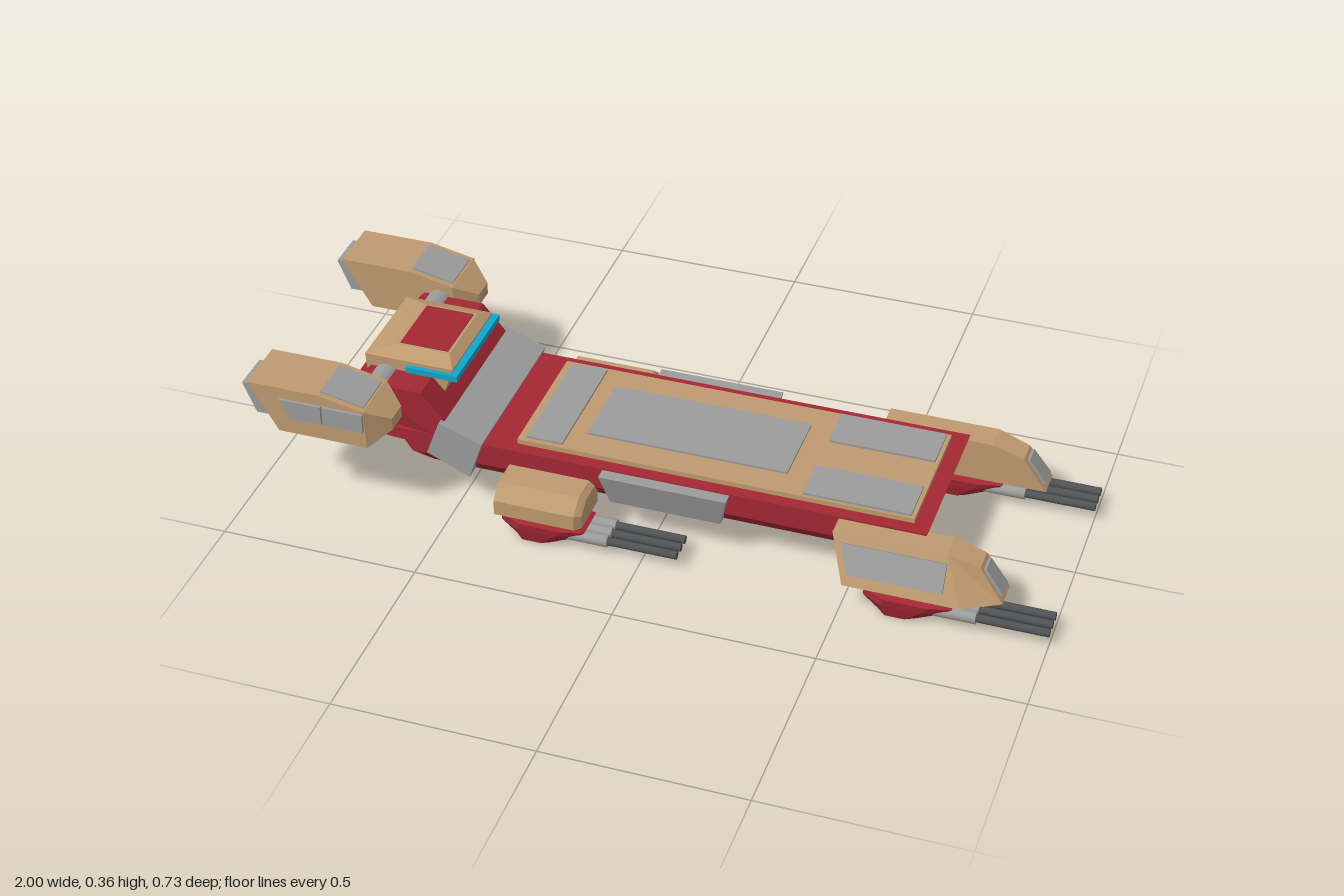
import * as THREE from 'three';

const mat = (name, color) => {
  const m = new THREE.MeshStandardMaterial({ color });
  m.name = name;
  return m;
};

// Joins convex cross-sections (lists of [x,y,z]) into a closed faceted solid
function loft(sections) {
  const tris = [];
  const n = sections[0].length;
  for (let s = 0; s < sections.length - 1; s++) {
    const a = sections[s], b = sections[s + 1];
    for (let i = 0; i < n; i++) {
      const j = (i + 1) % n;
      tris.push([a[i], a[j], b[j]], [a[i], b[j], b[i]]);
    }
  }
  const first = sections[0], last = sections[sections.length - 1];
  for (let i = 1; i < n - 1; i++) {
    tris.push([first[0], first[i + 1], first[i]], [last[0], last[i], last[i + 1]]);
  }
  // Turn the faces outward when the enclosed volume is negative
  const v = (p) => new THREE.Vector3(...p);
  const c = v(first[0]);
  let volume = 0;
  for (const t of tris) {
    const [p, q, r] = t.map((k) => v(k).sub(c));
    volume += p.dot(q.cross(r));
  }
  if (volume < 0) tris.forEach((t) => t.reverse());
  const g = new THREE.BufferGeometry();
  g.setAttribute('position', new THREE.Float32BufferAttribute(tris.flat(2), 3));
  g.computeVertexNormals();
  return g;
}

// Side profile in x,y pushed from z0 to z1
const prism = (pts, z0, z1) => loft([z0, z1].map((z) => pts.map(([x, y]) => [x, y, z])));
// Four corners thickened along an offset
const plate = (quad, off) => loft([quad, quad.map((p) => p.map((k, i) => k + off[i]))]);
// Slanted four-sided section: top x,y / bottom x,y / inner z / outer z at top and bottom
const section = (tx, ty, bx, by, zi, zt, zb = zt, zib = zi) =>
  [[tx, ty, zi], [tx, ty, zt], [bx, by, zb], [bx, by, zib]];
const box = (x0, x1, y0, y1, z0, z1) =>
  new THREE.BoxGeometry(x1 - x0, y1 - y0, z1 - z0)
    .translate((x0 + x1) / 2, (y0 + y1) / 2, (z0 + z1) / 2);

export function createModel() {
  const red = mat('hull red', 0xa32733);
  const tan = mat('armour tan', 0xbf9a70);
  const grey = mat('panel grey', 0x9c9c9c);
  const dark = mat('gun dark grey', 0x505254);
  const cyan = mat('window cyan', 0x12a5c8);

  const model = new THREE.Group();
  model.name = 'gunship';
  const add = (name, g, m, parent = model) => {
    const mesh = new THREE.Mesh(g, m);
    mesh.name = name;
    parent.add(mesh);
    return mesh;
  };

  // Main hull with chamfered keel, undercut nose and stern
  const rib = [[0.19, 0.207], [0.13, 0.207], [0.087, 0.17], [0.07, 0.075]];
  const hullEnd = (xs) => {
    const half = rib.map(([y, z], i) => [xs[i], y, z]);
    return [...half, ...half.map(([x, y, z]) => [x, y, -z]).reverse()];
  };
  add('hull', loft([hullEnd([-0.66, -0.62, -0.58, -0.56]), hullEnd([0.68, 0.64, 0.6, 0.58])]), red);

  // Raised stern block, narrowing towards the back
  const sternProfile = [[-0.5, 0.15], [-0.5, 0.2], [-0.59, 0.307], [-0.75, 0.307], [-0.81, 0.24], [-0.81, 0.15]];
  add('sternBlock', loft([-1, 1].map((s) =>
    sternProfile.map(([x, y]) => [x, y, s * (x < -0.8 ? 0.185 : 0.206)]))), red);

  add('collar', prism([[-0.54, 0.24], [-0.43, 0.2], [-0.465, 0.096], [-0.575, 0.145]], -0.222, 0.222), grey);

  // Deck and its raised panels
  add('deck', box(-0.355, 0.64, 0.185, 0.203, -0.175, 0.175), tan);
  add('deckPanelMiddle', box(-0.2, 0.307, 0.2, 0.209, -0.103, 0.103), grey);
  add('deckPanelRear', box(-0.335, -0.243, 0.2, 0.209, -0.163, 0.163), grey);

  // Bridge with stepped roof and wraparound window
  const ring = (x0, x1, y, z) => [[x0, y, -z], [x0, y, z], [x1, y, z], [x1, y, -z]];
  add('bridge', loft([
    ring(-0.74, -0.6, 0.24, 0.125), ring(-0.76, -0.56, 0.265, 0.13),
    ring(-0.765, -0.535, 0.338, 0.132), ring(-0.7, -0.558, 0.355, 0.092),
  ]), tan);
  add('bridgeRoofPanel', box(-0.69, -0.565, 0.352, 0.357, -0.085, 0.085), red);
  add('bridgeWindowFront', box(-0.545, -0.52, 0.312, 0.328, -0.143, 0.143), cyan);

  add('engineCrossbar', new THREE.CylinderGeometry(0.034, 0.034, 0.46, 16)
    .rotateX(Math.PI / 2).translate(-0.71, 0.284, 0), grey);

  for (const s of [1, -1]) {
    const side = new THREE.Group();
    side.name = s > 0 ? 'leftSide' : 'rightSide';
    model.add(side);
    const m = (sections) => loft(sections.map((q) => q.map(([x, y, z]) => [x, y, s * z])));
    const put = (name, sections, material) => add(name, m(sections), material, side);
    const panel = (name, quad, off, material) =>
      add(name, plate(quad.map(([x, y, z]) => [x, y, s * z]), [off[0], off[1], s * off[2]]), material, side);

    panel('deckPanelFront', [[0.365, 0.2, 0.053], [0.63, 0.2, 0.053], [0.63, 0.2, 0.168], [0.365, 0.2, 0.168]],
      [0, 0.009, 0], grey);
    panel('bridgeWindowSide', [[-0.655, 0.312, 0.125], [-0.52, 0.312, 0.125], [-0.52, 0.328, 0.125], [-0.655, 0.328, 0.125]],
      [0, 0, 0.018], cyan);

    // Hull side panel, leaning in at its foot
    put('hullSidePanel', [
      [[-0.125, 0.187, 0.19], [0.195, 0.187, 0.19], [0.175, 0.1, 0.165], [-0.105, 0.1, 0.165]],
      [[-0.125, 0.187, 0.238], [0.195, 0.187, 0.238], [0.175, 0.1, 0.212], [-0.105, 0.1, 0.212]],
    ], grey);

    // Engine pod
    put('enginePod', [
      section(-0.975, 0.357, -0.9, 0.23, 0.212, 0.357),
      section(-0.79, 0.357, -0.79, 0.23, 0.212, 0.357),
      section(-0.675, 0.333, -0.67, 0.23, 0.212, 0.357),
      section(-0.62, 0.297, -0.62, 0.265, 0.255, 0.312),
    ], tan);
    panel('enginePodTopPanel', [[-0.79, 0.355, 0.228], [-0.68, 0.332, 0.228], [-0.68, 0.332, 0.342], [-0.79, 0.355, 0.342]],
      [0.001, 0.006, 0], grey);
    for (const [x0, x1, x2] of [[-0.89, -0.783, -0.865], [-0.778, -0.675, -0.778]]) {
      panel('enginePodSidePanel', [[x0, 0.328, 0.356], [x1, 0.328, 0.356], [x1, 0.277, 0.356], [x2, 0.277, 0.356]],
        [0, 0, 0.009], grey);
    }
    put('engineNozzle', [
      section(-0.93, 0.335, -0.885, 0.255, 0.235, 0.335),
      section(-1, 0.335, -0.967, 0.255, 0.235, 0.335),
    ], grey);
    panel('engineExhaust', [[-0.992, 0.318, 0.255], [-0.992, 0.318, 0.315], [-0.973, 0.272, 0.315], [-0.973, 0.272, 0.255]],
      [-0.003, -0.001, 0], dark);

    // Front weapon pod with sloping outer wall
    put('frontPod', [
      section(0.465, 0.185, 0.505, 0.075, 0.19, 0.26, 0.313),
      section(0.74, 0.185, 0.79, 0.075, 0.19, 0.26, 0.313),
      section(0.82, 0.16, 0.88, 0.075, 0.19, 0.252, 0.262),
    ], tan);
    panel('frontPodSidePanel', [[0.49, 0.166, 0.268], [0.745, 0.166, 0.268], [0.745, 0.1, 0.3], [0.515, 0.1, 0.3]],
      [0, 0.004, 0.008], grey);
    panel('frontPodNosePanel', [[0.826, 0.151, 0.2], [0.826, 0.151, 0.246], [0.87, 0.089, 0.252], [0.87, 0.089, 0.2]],
      [0.007, 0.005, 0], grey);

    // Rear sponson with chamfered shoulder
    const sponson = (x, y1, y2, z1, z2) =>
      [[x, 0.075, 0.19], [x, y1, 0.19], [x, y1, z1], [x, y2, z2], [x, 0.075, z2]];
    put('rearSponson', [
      sponson(-0.365, 0.147, 0.115, 0.28, 0.317),
      sponson(-0.16, 0.147, 0.115, 0.28, 0.317),
      sponson(-0.145, 0.135, 0.11, 0.27, 0.302),
    ], tan);

    // Turrets slung below, each with three barrels
    for (const [label, cx] of [['rear', -0.25], ['front', 0.66]]) {
      const turret = new THREE.Group();
      turret.name = label + 'Turret';
      turret.position.set(cx, 0, s * 0.252);
      side.add(turret);
      const disc = (x0, x1, y, z) => {
        const c = (x1 - x0) * 0.25;
        return [[x0, y, z * 0.5], [x0 + c, y, z], [x1 - c, y, z], [x1, y, z * 0.75],
          [x1, y, -z * 0.75], [x1 - c, y, -z], [x0 + c, y, -z], [x0, y, -z * 0.5]];
      };
      add('turretBody', loft([
        disc(-0.075, 0.02, 0, 0.047), disc(-0.11, 0.085, 0.035, 0.056),
        disc(-0.11, 0.108, 0.054, 0.058), disc(-0.095, 0.07, 0.066, 0.049),
      ]), red, turret);
      add('turretNeck', new THREE.CylinderGeometry(0.04, 0.04, 0.02, 12).translate(0, 0.07, 0), red, turret);
      for (const z of [-0.032, 0, 0.032]) {
        const rod = (r, x0, x1) => new THREE.CylinderGeometry(r, r, x1 - x0, 12)
          .rotateZ(-Math.PI / 2).translate((x0 + x1) / 2, 0.037, z);
        add('barrelSleeve', rod(0.0155, 0.04, 0.165), grey, turret);
        add('barrel', rod(0.0105, 0.16, 0.34), dark, turret);
      }
    }
  }
  return model;
}
